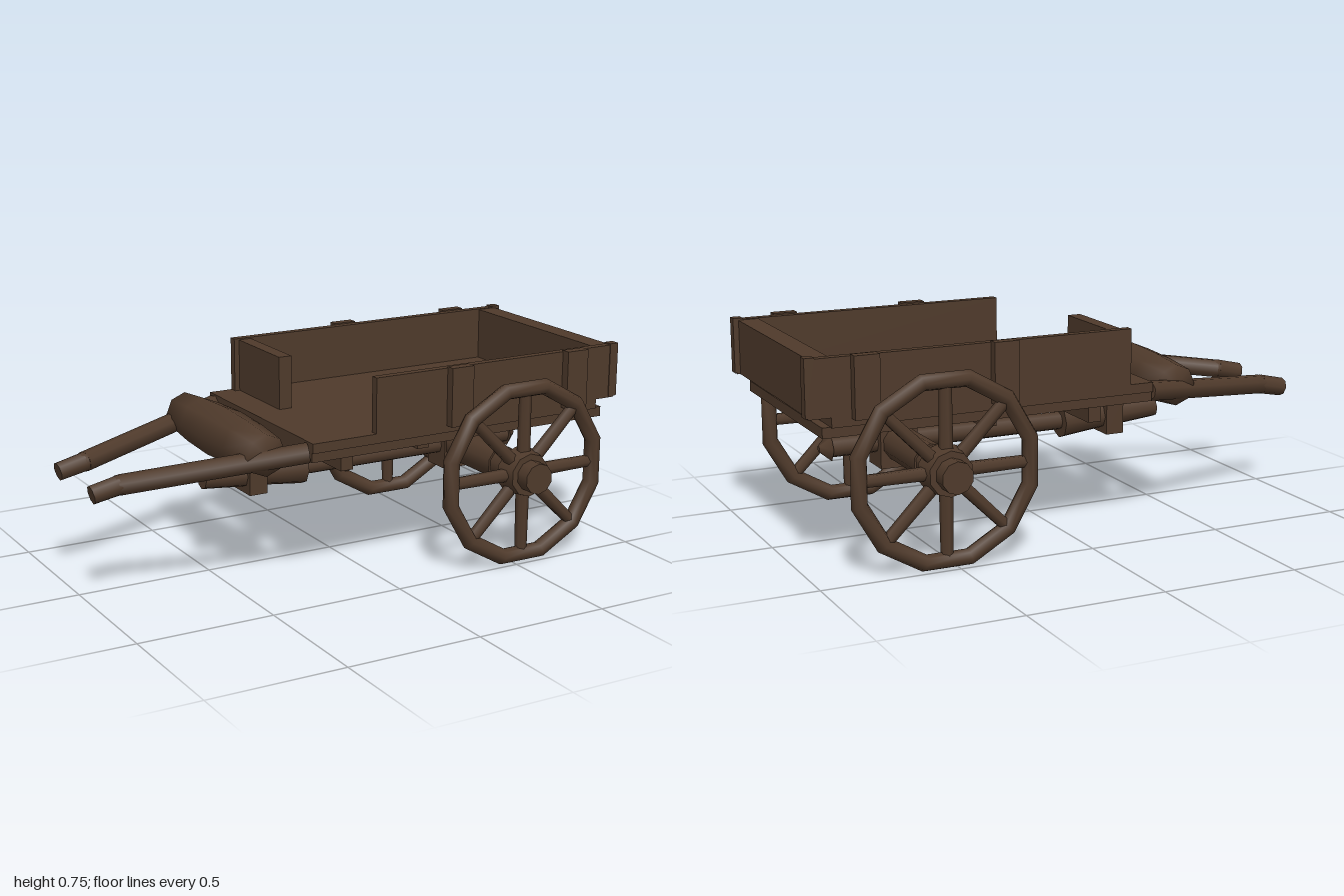
import * as THREE from 'three';

export function createModel() {
  const cart = new THREE.Group();
  cart.name = 'cart';
  const wood = new THREE.MeshStandardMaterial({ color: 0x4f3a2b });
  wood.name = 'dark wood';

  function add(name, geometry, parent = cart) {
    const mesh = new THREE.Mesh(geometry, wood);
    mesh.name = name;
    parent.add(mesh);
    return mesh;
  }
  // Box given by its extents on each axis
  function box(name, x0, x1, y0, y1, z0, z1) {
    const mesh = add(name, new THREE.BoxGeometry(x1 - x0, y1 - y0, z1 - z0));
    mesh.position.set((x0 + x1) / 2, (y0 + y1) / 2, (z0 + z1) / 2);
    return mesh;
  }
  // Round bar from point a (radius ra) to point b (radius rb)
  function bar(name, a, b, ra, rb = ra, sides = 8, parent = cart) {
    const from = new THREE.Vector3(...a), to = new THREE.Vector3(...b);
    const dir = to.clone().sub(from);
    const mesh = add(name, new THREE.CylinderGeometry(rb, ra, dir.length(), sides), parent);
    mesh.position.copy(from).add(to).multiplyScalar(0.5);
    mesh.quaternion.setFromUnitVectors(new THREE.Vector3(0, 1, 0), dir.normalize());
    return mesh;
  }

  // Bed: floor boards on a lower frame, with cross beams below
  box('floor', -0.29, 0.91, 0.51, 0.545, -0.4, 0.4);
  box('floorFrame', -0.29, 0.94, 0.475, 0.512, -0.39, 0.39);
  box('frontCrossBeam', -0.13, -0.08, 0.4, 0.476, -0.31, 0.31);
  box('middleCrossBeam', 0.24, 0.29, 0.405, 0.476, -0.225, 0.225);

  // Walls: the left front board is missing and one side is shorter
  box('nearSideWall', -0.04, 0.99, 0.545, 0.745, 0.37, 0.4);
  box('farSideWall', -0.2, 0.99, 0.545, 0.745, -0.4, -0.37);
  box('frontBoard', -0.18, -0.13, 0.545, 0.74, -0.375, -0.05);
  box('tailgate', 0.905, 0.98, 0.545, 0.742, -0.375, 0.375);
  for (const s of [-1, 1]) {
    for (const x of [0.295, 0.795]) {
      const z = s * 0.415;
      box('wallPost', x - 0.045, x + 0.045, 0.535, 0.75, z - 0.018, z + 0.018);
    }
    box('cornerPost', 0.965, 1, 0.55, 0.75, s * 0.385 - 0.018, s * 0.385 + 0.018);
  }

  // Pulling shafts with bent handles
  for (const s of [-1, 1]) {
    const bend = [-0.9, 0.428, s * 0.155];
    bar('shaft', [-0.29, 0.506, s * 0.365], bend, 0.036);
    bar('handle', bend, [-1, 0.407, s * 0.152], 0.036, 0.034);
    const joint = add('shaftBend', new THREE.SphereGeometry(0.036, 8, 6));
    joint.position.set(...bend);
  }

  // Barrel-shaped seat roll across the shafts
  const seatProfile = [[0, -0.325], [0.075, -0.325], [0.09, -0.17], [0.097, 0],
    [0.09, 0.17], [0.075, 0.325], [0, 0.325]].map(p => new THREE.Vector2(...p));
  const seat = add('seatRoll', new THREE.LatheGeometry(seatProfile, 8));
  seat.rotation.x = Math.PI / 2;
  seat.position.set(-0.43, 0.505, 0);

  // Centre pole with collar and socket
  bar('poleTip', [-0.52, 0.348, 0], [-0.29, 0.338, 0], 0.038, 0.05);
  box('poleCollar', -0.36, -0.29, 0.275, 0.405, -0.06, 0.06);
  bar('poleSocket', [-0.29, 0.34, 0], [-0.12, 0.335, 0], 0.05, 0.065);
  bar('pole', [-0.12, 0.335, 0], [0.78, 0.335, 0], 0.033, 0.036);
  bar('poleEnd', [0.78, 0.335, 0], [0.82, 0.335, 0], 0.05, 0.012, 6);
  box('axleBlock', 0.47, 0.61, 0.25, 0.408, -0.058, 0.058);

  // Axle
  const ax = 0.538, ay = 0.338;
  bar('axle', [ax, ay, -0.568], [ax, ay, 0.568], 0.057, 0.057, 10);
  bar('axleSleeve', [ax, ay, -0.34], [ax, ay, 0.34], 0.064, 0.064, 10);

  // Wheels: twelve-sided rim, hub and eight spokes
  for (const s of [-1, 1]) {
    const wheel = new THREE.Group();
    wheel.name = s > 0 ? 'nearWheel' : 'farWheel';
    wheel.position.set(ax, ay, s * 0.468);
    const rim = add('rim', new THREE.TorusGeometry(0.32, 0.03, 8, 12), wheel);
    rim.rotation.z = Math.PI / 12;
    bar('hub', [0, 0, -s * 0.03], [0, 0, s * 0.045], 0.093, 0.08, 10, wheel);
    bar('hubInner', [0, 0, -s * 0.045], [0, 0, -s * 0.03], 0.075, 0.093, 10, wheel);
    for (let i = 0; i < 8; i++) {
      const a = i * Math.PI / 4, c = Math.cos(a), d = Math.sin(a);
      bar('spoke', [0.05 * c, 0.05 * d, 0], [0.31 * c, 0.31 * d, 0], 0.025, 0.022, 6, wheel);
    }
    cart.add(wheel);
  }
  return cart;
}
